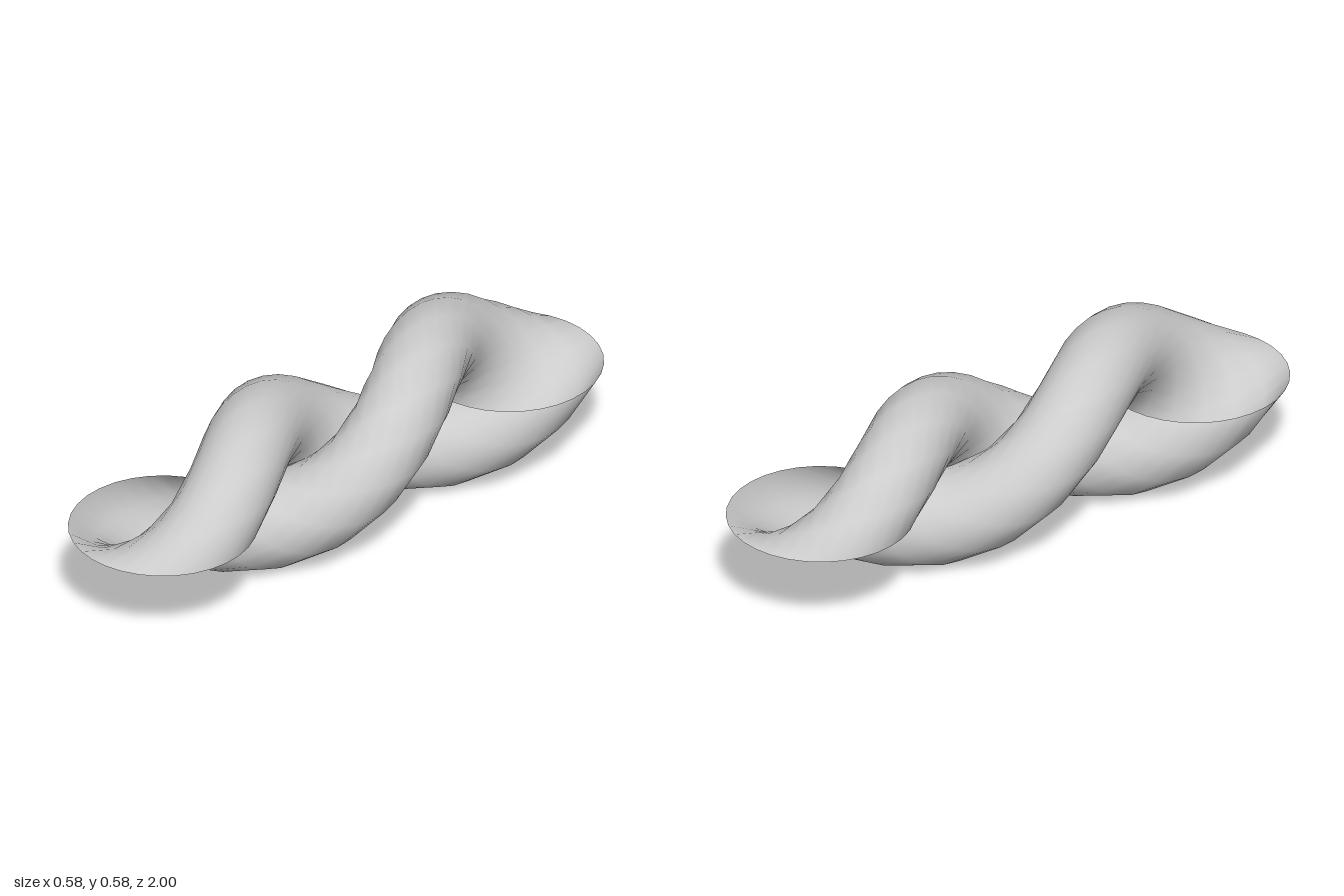
import * as THREE from 'three';
import { ParametricGeometry } from 'three/addons/geometries/ParametricGeometry.js';

const RADIUS = 0.29;      // radius of the swept circle
const HALF_TRAVEL = 0.71; // distance the circle centre moves each way along z

// A circle in a plane through the z axis, turning once about z as it moves along it
function corkscrew(s, t, target) {
  const around = (s * 2 - 1) * Math.PI;
  const twist = (t * 2 - 1) * Math.PI;
  const r = RADIUS * Math.cos(around);
  target.set(
    r * Math.cos(twist),
    RADIUS - r * Math.sin(twist),
    RADIUS * Math.sin(around) + HALF_TRAVEL * (t * 2 - 1)
  );
}

export function createModel() {
  const group = new THREE.Group();
  group.name = 'corkscrewSurface';

  // Open-ended twisted shell: 32 sides around the circle, 16 steps along the twist
  const shell = new THREE.Mesh(
    new ParametricGeometry(corkscrew, 32, 16),
    new THREE.MeshStandardMaterial({ color: 0xcccccc, side: THREE.DoubleSide })
  );
  shell.name = 'twistedShell';
  group.add(shell);
  return group;
}
